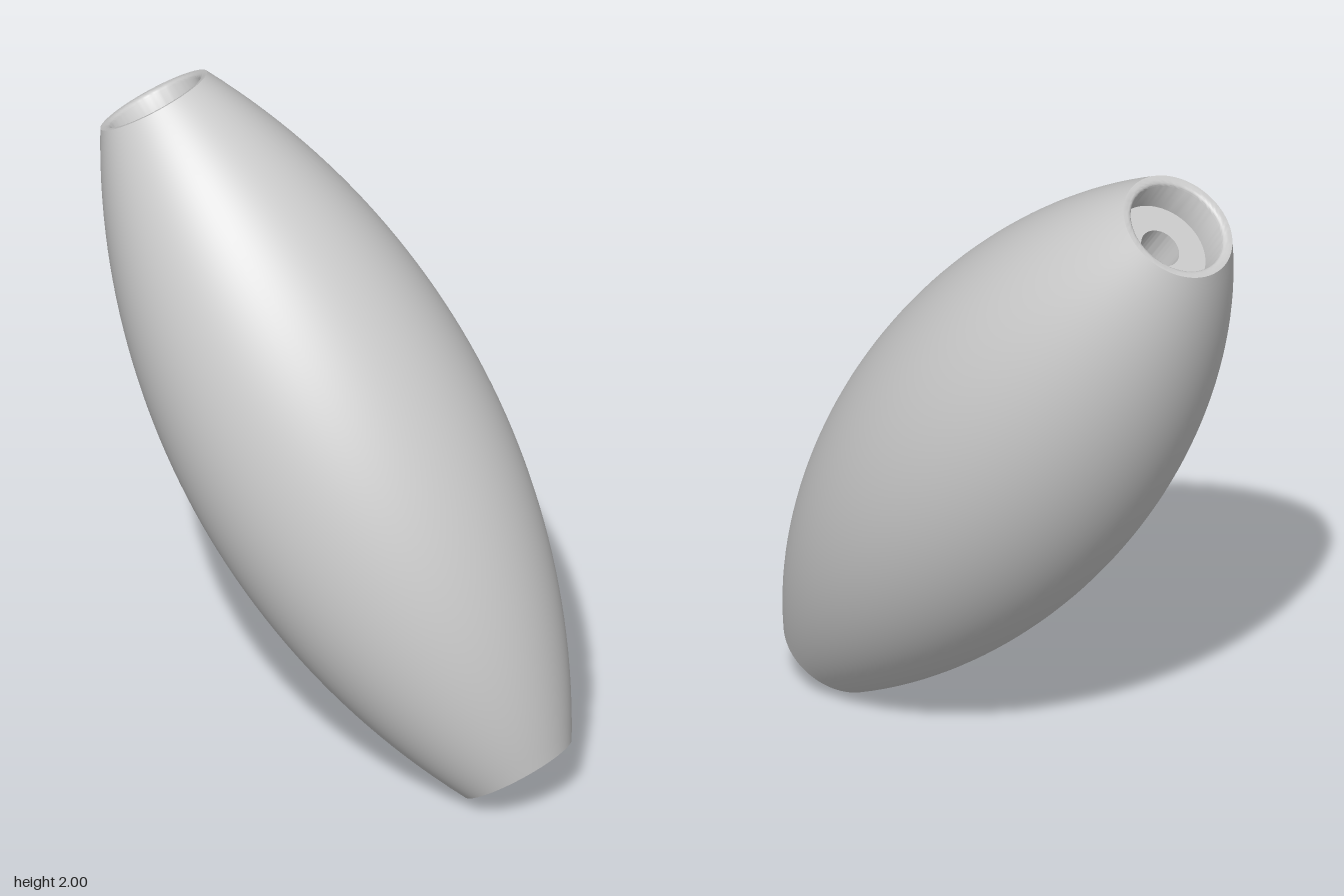
import * as THREE from 'three';
import { toCreasedNormals } from 'three/addons/utils/BufferGeometryUtils.js';

const HALF = 1.097;      // half length along the axis
const R_MID = 0.457;     // widest radius
const R_END = 0.172;     // radius at both ends
const R_RECESS = 0.143;  // counterbore radius
const DEPTH = 0.115;     // counterbore depth
const R_BORE = 0.06;     // through hole radius

// Outer radius: a circular arc bulging between the two ends
function outerRadius(t) {
  const sag = R_MID - R_END;
  const arc = (HALF * HALF + sag * sag) / (2 * sag);
  return R_MID - arc + Math.sqrt(arc * arc - t * t);
}

export function createModel() {
  const group = new THREE.Group();
  const v = (r, y) => new THREE.Vector2(r, y);

  // Bulging outer wall, bottom to top
  const profile = [];
  const rings = 48;
  for (let i = 0; i <= rings; i++) {
    const t = -HALF + (2 * HALF * i) / rings;
    profile.push(v(outerRadius(t), t));
  }

  // Rounded inner lip, counterbore wall and floor at one end
  const socket = [v(0.16, HALF)];
  const lip = 0.16 - R_RECESS;
  for (let i = 1; i <= 5; i++) {
    const a = (i / 5) * Math.PI / 2;
    socket.push(v(0.16 - lip * Math.sin(a), HALF - lip * (1 - Math.cos(a))));
  }
  socket.push(v(R_RECESS, HALF - DEPTH), v(R_BORE, HALF - DEPTH));

  // Down through the bore and out of the mirrored socket, closing the loop
  profile.push(...socket);
  profile.push(...socket.slice().reverse().map((p) => v(p.x, -p.y)));
  profile.push(profile[0].clone());

  const geometry = toCreasedNormals(new THREE.LatheGeometry(profile, 96), 0.5);
  const bead = new THREE.Mesh(geometry, new THREE.MeshStandardMaterial({ color: 0xcccccc }));
  bead.name = 'barrelBead';

  // Lean the axis to the right and back, centred at mid height
  const axis = new THREE.Vector3(-0.493, 0.822, -0.287).normalize();
  bead.quaternion.setFromUnitVectors(new THREE.Vector3(0, 1, 0), axis);
  bead.position.y = 1;
  group.add(bead);
  return group;
}
